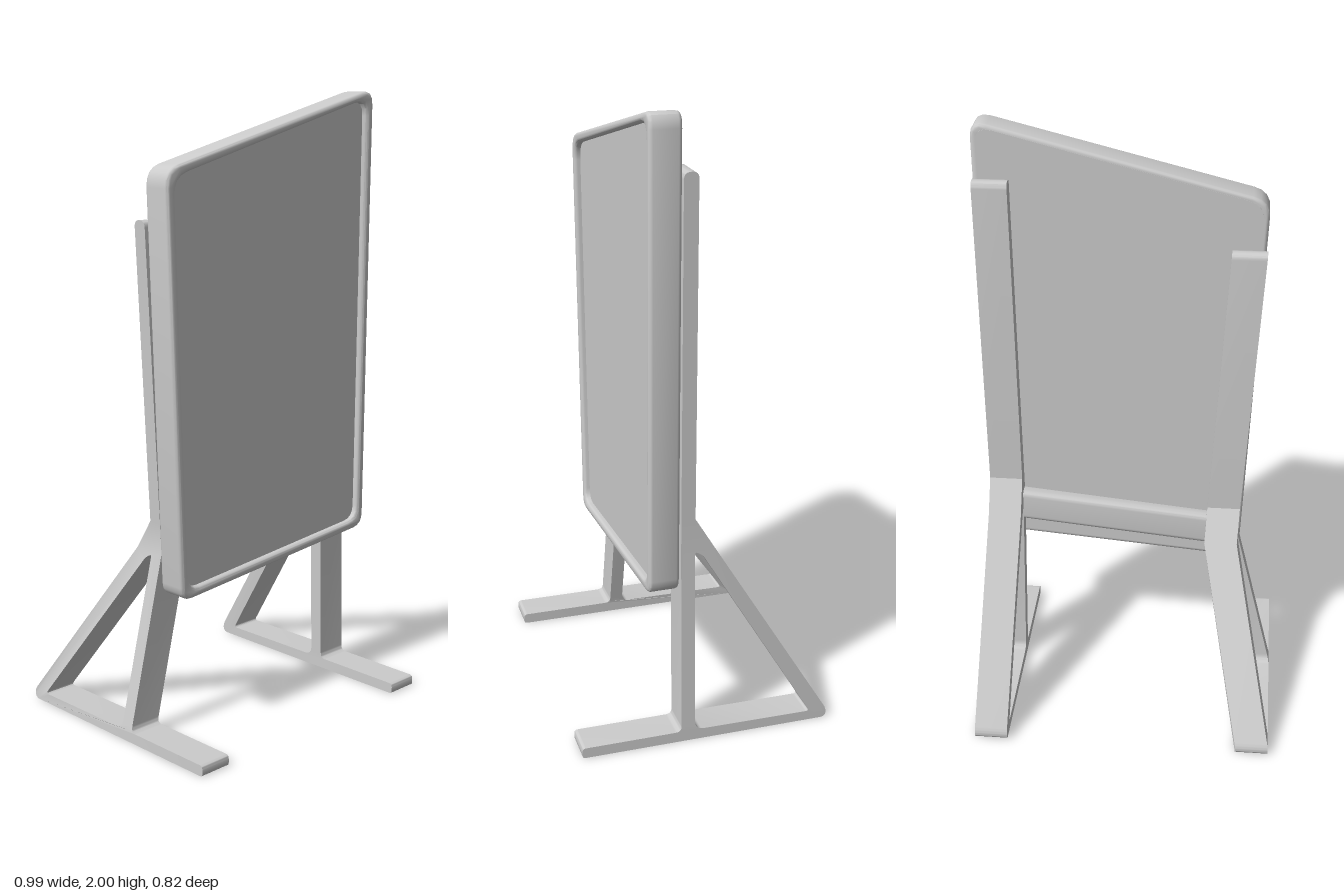
import * as THREE from 'three';
import { toCreasedNormals } from 'three/addons/utils/BufferGeometryUtils.js';

const material = new THREE.MeshStandardMaterial({ color: 0xcccccc });

function mesh(name, geometry) {
  const m = new THREE.Mesh(toCreasedNormals(geometry, 0.6), material);
  m.name = name;
  return m;
}

// Closed path through [x, y, cornerRadius] points with rounded corners
function rounded(points, PathType = THREE.Shape) {
  const path = new PathType();
  const n = points.length;
  points.forEach(([x, y, r = 0], i) => {
    const p = new THREE.Vector2(x, y);
    const toward = ([a, b]) => new THREE.Vector2(a, b).sub(p).normalize().multiplyScalar(r).add(p);
    const a = toward(points[(i + n - 1) % n]);
    const b = toward(points[(i + 1) % n]);
    if (i === 0) path.moveTo(a.x, a.y);
    else path.lineTo(a.x, a.y);
    if (r > 0) path.quadraticCurveTo(x, y, b.x, b.y);
  });
  path.closePath();
  return path;
}

// Display panel: tilted four-sided outline, raised rim, recessed face
const corners = [[-0.37, 0.457, 0.045], [0.48, 0.53, 0.045], [0.493, 2.012, 0.055], [-0.422, 1.783, 0.055]];

function outline(sx, sy, PathType) {
  const cx = 0.045, cy = 1.22;
  return rounded(corners.map(([x, y, r]) => [cx + (x - cx) * sx, cy + (y - cy) * sy, r]), PathType);
}

function createPanel() {
  const panel = new THREE.Group();
  panel.name = 'panel';
  const rimShape = outline(1, 1);
  rimShape.holes.push(outline(0.925, 0.957, THREE.Path));
  const bevel = 0.011;
  const rim = new THREE.ExtrudeGeometry(rimShape, {
    depth: 0.097 - 2 * bevel, bevelSize: bevel, bevelThickness: bevel,
    bevelOffset: -bevel, bevelSegments: 3, curveSegments: 4,
  });
  rim.translate(0, 0, 0.089 + bevel);
  const board = new THREE.ExtrudeGeometry(outline(0.965, 0.98), {
    depth: 0.078, bevelEnabled: false, curveSegments: 4,
  });
  board.translate(0, 0, 0.088);
  panel.add(mesh('panelRim', rim), mesh('panelBoard', board));
  return panel;
}

// Side stand: profile drawn as (-z, y), extruded across x, then leaned sideways
const WIDTH = 0.11;
const FRONT = -0.085, BACK = -0.04;

function leaned(shape, centreAt) {
  const g = new THREE.ExtrudeGeometry(shape, { depth: WIDTH, bevelEnabled: false, curveSegments: 6 });
  g.translate(0, 0, -WIDTH / 2).rotateY(Math.PI / 2);
  const p = g.attributes.position;
  for (let i = 0; i < p.count; i++) p.setX(i, p.getX(i) + centreAt(p.getY(i)));
  return g;
}

function createStand(name, { base, kink, tip, kinkY, apex, top }) {
  const stand = new THREE.Group();
  stand.name = name;
  const centreAt = (y) => (y < kinkY
    ? THREE.MathUtils.mapLinear(Math.max(y, 0.035), 0.035, kinkY, base, kink)
    : THREE.MathUtils.mapLinear(y, kinkY, top, kink, tip));

  // Foot, lower post and rear strut around a triangular opening
  const kinkU = THREE.MathUtils.mapLinear(kinkY, 0.03, apex, 0.408, BACK);
  const frame = rounded([
    [-0.41, 0, 0.01], [0.41, 0, 0.02], [0.41, 0.03, 0.015],
    [kinkU, kinkY], [BACK, apex], [FRONT, apex], [FRONT, kinkY],
    [FRONT, 0.035, 0.02], [-0.41, 0.035, 0.012],
  ]);
  frame.holes.push(rounded([
    [BACK, 0.035, 0.03], [0.352, 0.032, 0.015], [BACK + 0.025, apex - 0.125, 0.01], [BACK, apex - 0.11, 0.01],
  ], THREE.Path));
  stand.add(mesh('supportFrame', leaned(frame, centreAt)));

  // Upper post behind the panel with a rounded end
  const post = rounded([
    [FRONT, apex], [BACK, apex], [BACK, top, 0.021], [FRONT, top, 0.021],
  ]);
  stand.add(mesh('upperPost', leaned(post, centreAt)));
  return stand;
}

// Crossbar joining the stands, sloped like the panel's lower edge
function createCrossbar() {
  const h = 0.055;
  const section = rounded([
    [BACK, -h, 0.018], [BACK, h, 0.018], [FRONT, h, 0.008], [FRONT, -h, 0.008],
  ]);
  const x0 = -0.32, x1 = 0.43;
  const g = new THREE.ExtrudeGeometry(section, { depth: x1 - x0, bevelEnabled: false, curveSegments: 5 });
  g.rotateY(Math.PI / 2).translate(x0, 0, 0);
  const p = g.attributes.position;
  for (let i = 0; i < p.count; i++) {
    p.setY(i, p.getY(i) + THREE.MathUtils.mapLinear(p.getX(i), x0, x1, 0.59, 0.665));
  }
  return mesh('crossbar', g);
}

export function createModel() {
  const model = new THREE.Group();
  model.name = 'displayStand';
  model.add(
    createPanel(),
    createStand('leftStand', { base: 0.44, kink: 0.425, tip: 0.433, kinkY: 0.66, apex: 0.77, top: 1.835 }),
    createStand('rightStand', { base: -0.444, kink: -0.31, tip: -0.365, kinkY: 0.59, apex: 0.69, top: 1.63 }),
    createCrossbar(),
  );
  return model;
}
